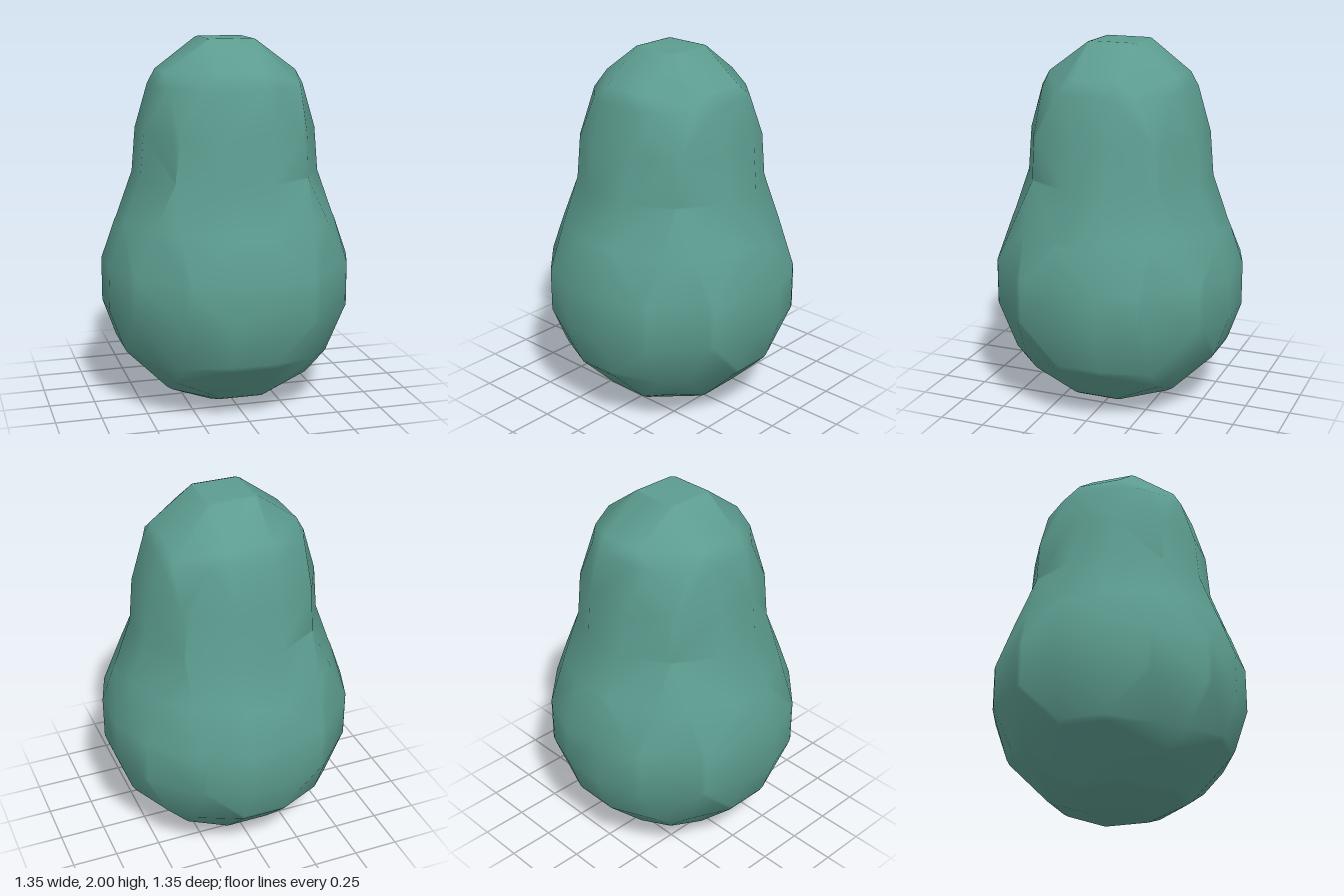
import * as THREE from 'three';
import { mergeVertices } from 'three/addons/utils/BufferGeometryUtils.js';

const STEP = 0.24;

// Shoulder and neck: height, squared radius
const NECK = [[0.795, 0.4686], [1.0, 0.375], [1.035, 0.356], [1.275, 0.26], [1.515, 0.24], [1.755, 0.1767]];

// Squared radius at a height: large ball, neck, small ball
function radiusSquared(y) {
  if (y <= NECK[0][0]) return 0.483 - (y - 0.675) ** 2;
  for (let i = 1; i < NECK.length; i++) {
    const [y0, a] = NECK[i - 1], [y1, b] = NECK[i];
    if (y <= y1) return a + (b - a) * (y - y0) / (y1 - y0);
  }
  return 0.2087 - (y - 1.576) ** 2;
}

const inside = (p) => p.x * p.x + p.z * p.z < radiusSquared(p.y);

// Point where the lattice edge from a (inside) to b (outside) meets the skin
function crossing(a, b) {
  let lo = 0, hi = 1;
  for (let i = 0; i < 30; i++) {
    const mid = (lo + hi) / 2;
    if (inside(a.clone().lerp(b, mid))) lo = mid; else hi = mid;
  }
  return a.clone().lerp(b, lo);
}

// Skin polygon inside one lattice cell, ordered around its outward direction
function cellPolygon(corners) {
  const points = [], out = new THREE.Vector3();
  for (let i = 0; i < 8; i++) {
    for (const bit of [1, 2, 4]) {
      if (i & bit) continue;
      const a = corners[i], b = corners[i | bit];
      const inA = inside(a);
      if (inA !== inside(b)) points.push(inA ? crossing(a, b) : crossing(b, a));
    }
    out.addScaledVector(corners[i], inside(corners[i]) ? -1 : 1);
  }
  if (points.length < 3) return [];
  // Outward direction relative to the cell centre
  const centre = corners[0].clone().add(corners[7]).multiplyScalar(0.5);
  const surplus = corners.reduce((n, c) => n + (inside(c) ? -1 : 1), 0);
  out.addScaledVector(centre, -surplus).normalize();
  const middle = points.reduce((s, p) => s.add(p), new THREE.Vector3()).divideScalar(points.length);
  const u = new THREE.Vector3(0.31, 0.52, 0.79).cross(out).normalize();
  const v = out.clone().cross(u);
  const angle = (p) => {
    const d = p.clone().sub(middle);
    return Math.atan2(d.dot(v), d.dot(u));
  };
  return points.sort((p, q) => angle(p) - angle(q));
}

// Coarse faceted outline with smooth shared normals
function blobGeometry() {
  const positions = [];
  for (let i = 0; i < 7; i++) for (let j = 0; j < 10; j++) for (let k = 0; k < 7; k++) {
    const corners = [];
    for (let c = 0; c < 8; c++) {
      corners.push(new THREE.Vector3(
        (i + (c & 1) - 3.5) * STEP,
        -0.165 + (j + ((c >> 1) & 1)) * STEP,
        (k + (c >> 2) - 3.5) * STEP));
    }
    const poly = cellPolygon(corners);
    for (let n = 1; n + 1 < poly.length; n++) {
      for (const p of [poly[0], poly[n], poly[n + 1]]) positions.push(p.x, p.y, p.z);
    }
  }
  const geometry = new THREE.BufferGeometry();
  geometry.setAttribute('position', new THREE.Float32BufferAttribute(positions, 3));
  const merged = mergeVertices(geometry, 1e-4);
  merged.computeVertexNormals();
  return merged;
}

export function createModel() {
  const group = new THREE.Group();
  const teal = new THREE.MeshStandardMaterial({ color: 0x5c9c8f });
  teal.name = 'teal';
  const body = new THREE.Mesh(blobGeometry(), teal);
  body.name = 'body';
  group.add(body);
  return group;
}
